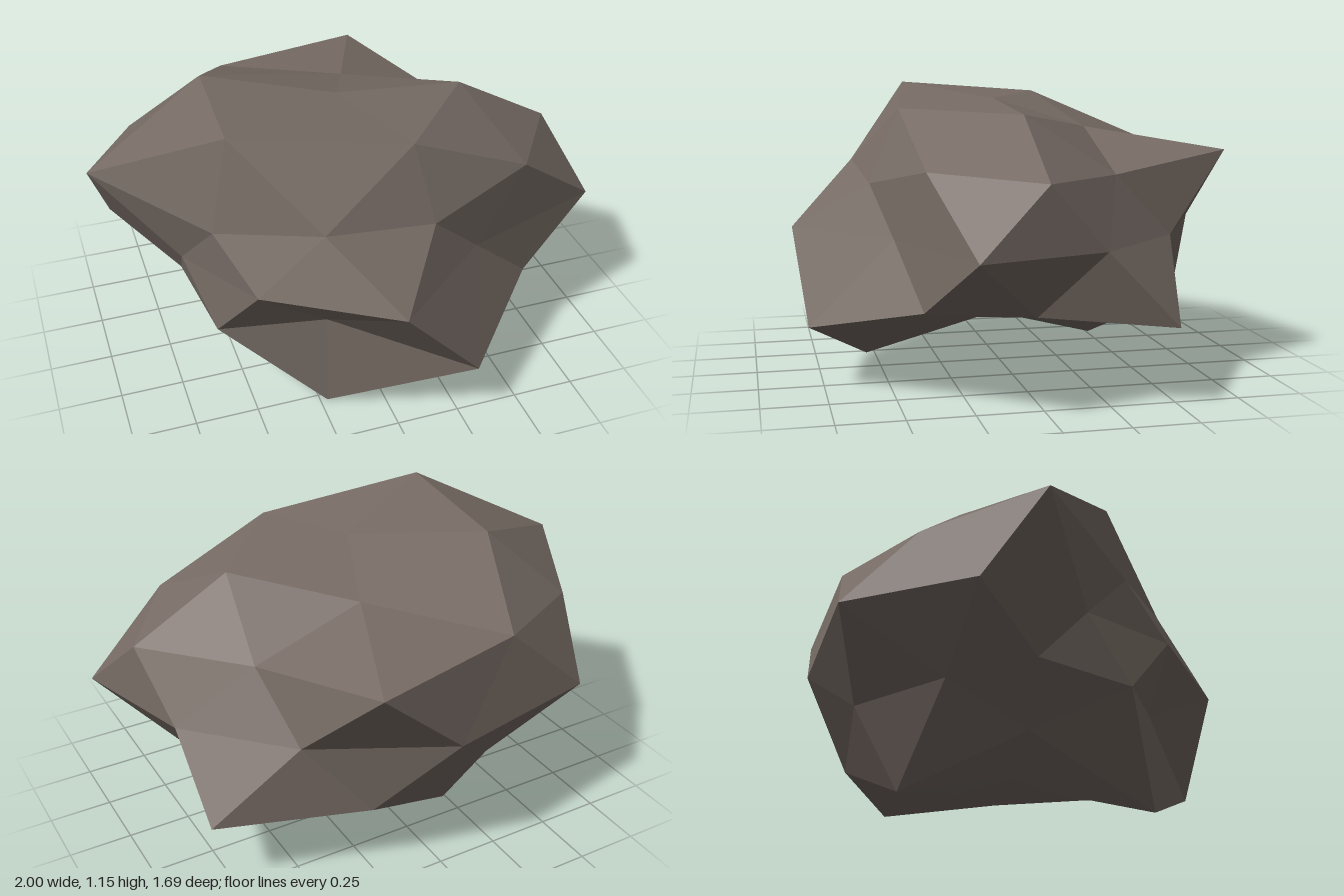
import * as THREE from 'three';

// Rings of a once-subdivided icosphere, from top to bottom:
// ring radius, height, first angle (degrees from +z towards +x), stretch of each corner
const RINGS = {
  top:        [0, 1, 0, [0.927]],
  crown:      [0.526, 0.851, 18, [1.025, 1.0, 0.85, 1.12, 1.21]],
  shoulder:   [0.894, 0.447, 18, [0.78, 1.023, 1.26, 1.04, 0.82]],
  upperMid:   [0.851, 0.526, 54, [0.95, 0.84, 1.11, 1.157, 0.86]],
  equator:    [1, 0, 0, [1.02, 0.72, 1.065, 0.905, 0.885, 1.05, 1.1, 0.94, 0.72, 0.81]],
  lowerMid:   [0.851, -0.526, 18, [1.2, 0.87, 1.04, 0.8, 0.87]],
  hip:        [0.894, -0.447, 54, [0.94, 1.18, 0.945, 0.74, 0.74]],
  foot:       [0.526, -0.851, 54, [0.72, 0.76, 1.17, 0.77, 1.27]],
  bottom:     [0, -1, 0, [0.715]],
};
const SIZE = new THREE.Vector3(1, 0.545, 0.81);
const CENTRE = new THREE.Vector3(-0.015, 0.59, 0.02);

function ringPoints([radius, height, start, stretch]) {
  return stretch.map((s, i) => {
    const a = THREE.MathUtils.degToRad(start + (360 / stretch.length) * i);
    return new THREE.Vector3(Math.sin(a) * radius, height, Math.cos(a) * radius)
      .multiplyScalar(s).multiply(SIZE).add(CENTRE);
  });
}

function boulderGeometry() {
  const rings = {};
  for (const name in RINGS) {
    const points = ringPoints(RINGS[name]);
    rings[name] = (i) => points[(i + points.length) % points.length];
  }
  const { top, crown, shoulder, upperMid, equator, lowerMid, hip, foot, bottom } = rings;

  const corners = [];
  const tri = (...abc) => corners.push(...abc);

  // Five equal sectors around the vertical axis
  for (let k = 0; k < 5; k++) {
    const n = k + 1, e0 = equator(2 * k), e1 = equator(2 * k + 1), e2 = equator(2 * k + 2);
    // cap
    tri(top(0), crown(k), crown(n));
    tri(crown(k), shoulder(k), upperMid(k));
    tri(crown(k), upperMid(k), crown(n));
    tri(crown(n), upperMid(k), shoulder(n));
    // downward pointing side
    tri(shoulder(k), e1, upperMid(k));
    tri(upperMid(k), e1, e2);
    tri(upperMid(k), e2, shoulder(n));
    tri(e1, hip(k), e2);
    // upward pointing side
    tri(shoulder(k), e0, e1);
    tri(e0, lowerMid(k), e1);
    tri(e0, hip(k - 1), lowerMid(k));
    tri(e1, lowerMid(k), hip(k));
    // underside
    tri(hip(k), foot(k), lowerMid(n));
    tri(lowerMid(n), foot(k), foot(n));
    tri(lowerMid(n), foot(n), hip(n));
    tri(foot(k), bottom(0), foot(n));
  }

  // Unshared corners give each facet its own flat normal
  const geometry = new THREE.BufferGeometry().setFromPoints(corners);
  geometry.computeVertexNormals();
  return geometry;
}

export function createModel() {
  const stone = new THREE.MeshStandardMaterial({ color: 0x776c65 });
  stone.name = 'stone';
  stone.flatShading = true;

  const boulder = new THREE.Mesh(boulderGeometry(), stone);
  boulder.name = 'boulder';

  const model = new THREE.Group();
  model.name = 'rock';
  model.add(boulder);
  return model;
}
